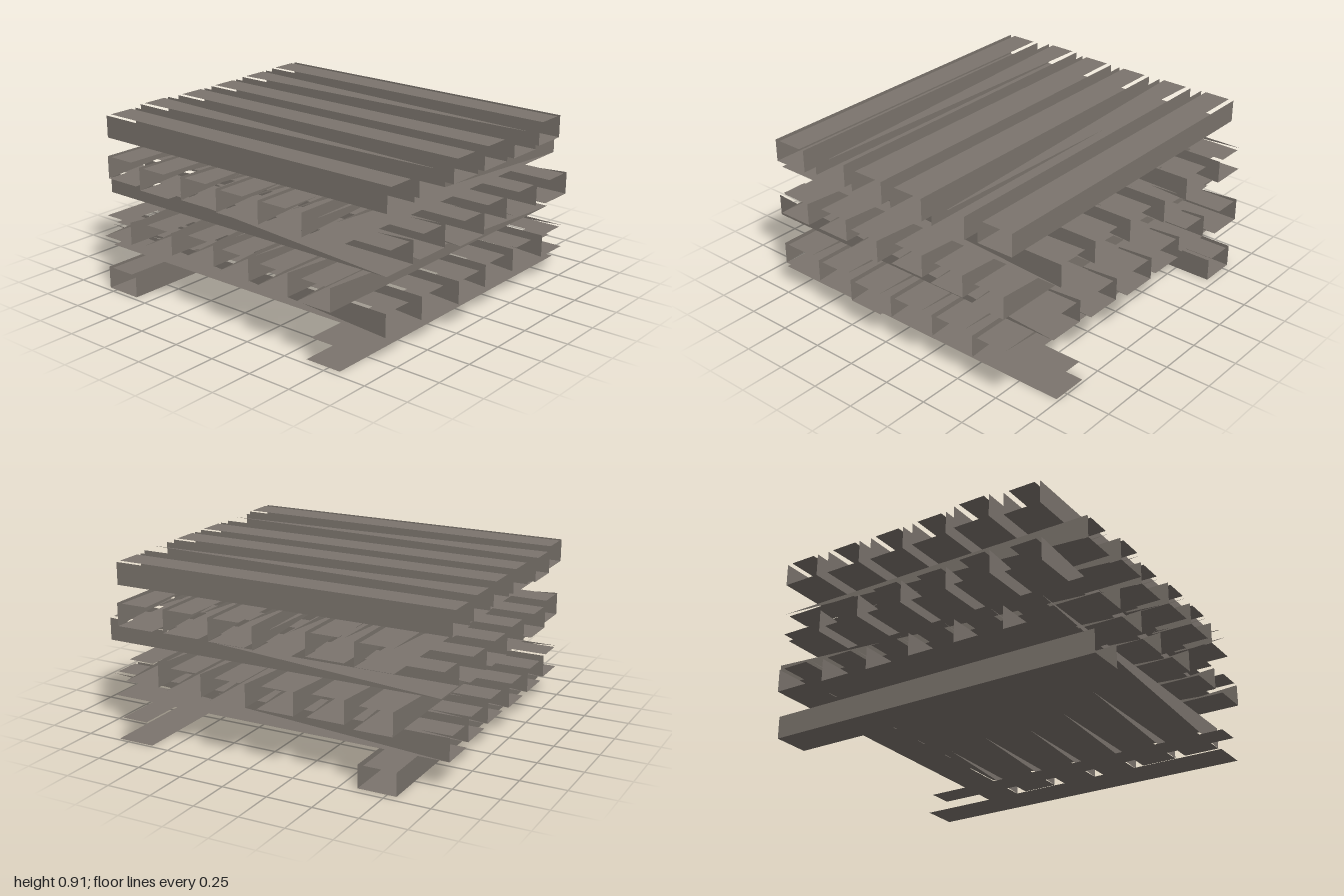
import * as THREE from 'three';

const W = 0.21, H = 0.125, STEP = 0.157;
const TOP_HALF = 0.075, TIP = 0.002; // half widths of a top sheet: normal and pointed end
const LANES = [-0.685, -0.408, -0.135, 0.135, 0.412, 0.688];

// Hollow open-ended beam along x from a to b, made of separate sheets.
// sides: 'full', 'none', or half sheets that keep the 'top' or 'bottom' edge.
// point: end (-1 or 1) where the top sheet runs to a tip, 0 for a straight strip.
function beamGeometry(a, b, sides, point) {
  const h = W / 2, pos = [];
  const tri = (...corners) => corners.forEach((c) => pos.push(...c));
  const quad = (p, q, r, s) => { tri(p, q, r); tri(p, r, s); };

  // narrow top sheet and wide bottom sheet
  const ta = point < 0 ? TIP : TOP_HALF, tb = point > 0 ? TIP : TOP_HALF;
  quad([a, H, ta], [b, H, tb], [b, H, -tb], [a, H, -ta]);
  quad([a, 0, -h], [b, 0, -h], [b, 0, h], [a, 0, h]);

  // side sheets, the second one being the first turned half a circle
  for (const s of [1, -1]) {
    const l = s > 0 ? a : b, r = s > 0 ? b : a, z = s * h;
    const TL = [l, H, z], TR = [r, H, z], BL = [l, 0, z], BR = [r, 0, z];
    if (sides === 'full' || sides === 'top') tri(TL, BR, TR);
    if (sides === 'full' || sides === 'bottom') tri(TL, BL, BR);
  }
  const g = new THREE.BufferGeometry();
  g.setAttribute('position', new THREE.Float32BufferAttribute(pos, 3));
  g.computeVertexNormals();
  return g;
}

// Each layer: direction, side style, [min, max, sideways shift] of every beam,
// and the beams whose top sheet is pointed
const LAYERS = [
  { axis: 'x', sides: 'full', points: {}, ends: [[-0.975, 0.957, -0.01], null, null, null, null, [-0.96, 0.985, 0.025]] },
  { axis: 'z', sides: 'top', points: {}, ends: [[-0.97, 0.96], [-0.98, 0.97], [-0.98, 1], [-0.97, 0.98], [-0.98, 0.97], [-1, 0.98]] },
  { axis: 'x', sides: 'bottom', points: {}, ends: [[-1, 0.985], [-0.97, 0.95], [-0.94, 0.97], [-0.97, 0.98], [-0.99, 0.96], [-1, 0.94]] },
  { axis: 'z', sides: 'bottom', points: {}, ends: [[-0.96, 0.96], [-0.99, 0.95], [-0.97, 1], [-0.98, 0.96], [-0.98, 0.97], [-0.95, 0.99]] },
  { axis: 'x', sides: 'top', points: { 2: 1, 5: -1 }, ends: [[-0.95, 0.98], [-0.98, 0.955], [-0.95, 1], [-0.97, 0.98], [-0.965, 0.97], [-0.96, 0.98]] },
  { axis: 'z', sides: 'full', points: { 1: -1, 4: -1 }, ends: [[-0.97, 0.96], [-1, 0.94], [-0.98, 0.95], [-0.98, 0.95], [-0.99, 0.95], [-1, 0.93]] },
];

export function createModel() {
  const model = new THREE.Group();
  model.name = 'crossedBeamStack';
  const wood = new THREE.MeshStandardMaterial({ color: 0x7b746d, side: THREE.DoubleSide });
  wood.name = 'weatheredWood';

  LAYERS.forEach((layer, level) => {
    const group = new THREE.Group();
    group.name = `beamLayer${level + 1}`;
    group.position.y = level * STEP;

    layer.ends.forEach((end, i) => {
      if (!end) return;
      const lengthwise = layer.axis === 'z';
      const [min, max, shift = 0] = end;
      const [a, b] = lengthwise ? [-max, -min] : [min, max];
      // the front bottom beam has no side sheets
      const sides = level === 0 && i === 5 ? 'none' : layer.sides;
      const beam = new THREE.Mesh(beamGeometry(a, b, sides, layer.points[i] ?? 0), wood);
      beam.name = lengthwise ? `lengthwiseBeam${i + 1}` : `crosswiseBeam${i + 1}`;
      if (lengthwise) {
        beam.rotation.y = Math.PI / 2;
        beam.position.x = LANES[i] + shift;
      } else {
        beam.position.z = LANES[i] + shift;
      }
      group.add(beam);
    });
    model.add(group);
  });
  return model;
}
